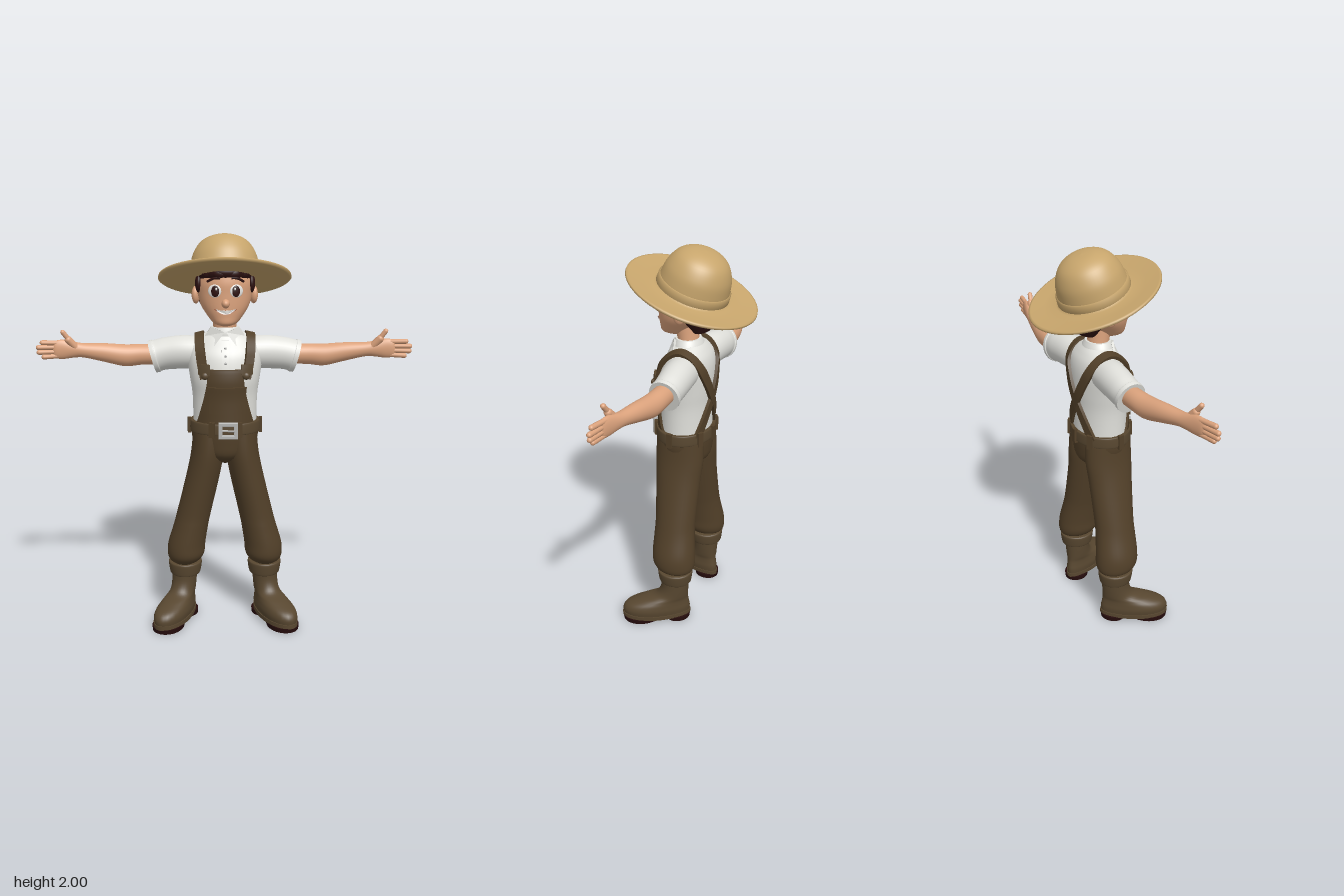
import * as THREE from 'three';
import { mergeVertices } from 'three/addons/utils/BufferGeometryUtils.js';

const flat = (name, color) => Object.assign(new THREE.MeshStandardMaterial({ color }), { name });
const M = {
  straw: flat('straw', 0xc7a56c), skin: flat('skin', 0xdca37d), hair: flat('dark hair', 0x2e1211),
  shirt: flat('shirt white', 0xe0e0db), cloth: flat('overall brown', 0x524029),
  boot: flat('boot brown', 0x584730), sole: flat('sole', 0x260d0d), metal: flat('metal', 0xb4b4b2),
  white: flat('eye white', 0xf6f4ef), lip: flat('lip', 0xa9684f),
};

// Smooth in-between rings; a ring is [x, y, z, radiusA, radiusB, lean]
function refine(rings, n = 5) {
  const cubic = (a, b, c, d, t) => 0.5 * (2 * b + (c - a) * t + (2 * a - 5 * b + 4 * c - d) * t * t
    + (3 * b - a - 3 * c + d) * t * t * t);
  const out = [], last = rings.length - 1;
  for (let i = 0; i < last; i++) for (let j = 0; j < n; j++) {
    const [p, q, r, s] = [Math.max(i - 1, 0), i, i + 1, Math.min(i + 2, last)].map(k => rings[k]);
    out.push(q.map((v, k) => cubic(p[k], v, r[k], s[k], j / n)));
  }
  out.push(rings[last]);
  return out;
}

// Skin over elliptical rings along +y or +x, with flat caps
function loft(rings, axis = 'y', sides = 32) {
  const R = refine(rings), pos = [], idx = [];
  const ring = ([x, y, z, a, b, lean = 0]) => {
    for (let i = 0; i < sides; i++) {
      const c = Math.cos(i / sides * Math.PI * 2), s = Math.sin(i / sides * Math.PI * 2);
      if (axis === 'y') pos.push(x + a * c, y + lean * s, z + b * s);
      else pos.push(x + lean * s, y + a * s, z + b * c);
    }
  };
  R.forEach(ring);
  for (let k = 0; k < R.length - 1; k++) for (let i = 0; i < sides; i++) {
    const a = k * sides + i, b = k * sides + (i + 1) % sides;
    idx.push(a, a + sides, b, b, a + sides, b + sides);
  }
  for (const [r, top] of [[R[0], false], [R[R.length - 1], true]]) {
    const start = pos.length / 3;
    ring(r);
    pos.push(r[0], r[1], r[2]);
    for (let i = 0; i < sides; i++) {
      const a = start + i, b = start + (i + 1) % sides;
      idx.push(start + sides, top ? b : a, top ? a : b);
    }
  }
  const g = new THREE.BufferGeometry();
  g.setAttribute('position', new THREE.Float32BufferAttribute(pos, 3));
  g.setIndex(idx);
  g.computeVertexNormals();
  return g;
}

function warp(g, rule) {
  const p = g.attributes.position, v = new THREE.Vector3();
  for (let i = 0; i < p.count; i++) {
    rule(v.fromBufferAttribute(p, i));
    p.setXYZ(i, v.x, v.y, v.z);
  }
  g.computeVertexNormals();
  return g;
}

// Front (side 1) or back (side -1) depth of a lofted body at x, y
function surfaceZ(rings, x, y, side = 1) {
  const R = refine(rings);
  let k = R.findIndex(r => r[1] > y);
  if (k < 1) k = k === 0 ? 1 : R.length - 1;
  const t = THREE.MathUtils.clamp((y - R[k - 1][1]) / (R[k][1] - R[k - 1][1]), 0, 1);
  const [, , z, a, b] = R[k].map((v, i) => THREE.MathUtils.lerp(R[k - 1][i], v, t));
  return z + side * b * Math.sqrt(Math.max(0, 1 - (x / a) ** 2));
}
const drape = (g, rings, lift) => warp(g, v => { v.z += surfaceZ(rings, v.x, v.y) + lift; });
const panel = (w, h, d, x, y) => new THREE.BoxGeometry(w, h, d, 10, 8, 1).translate(x, y, 0);
const blob = (x, y, z, a, b, c, yaw = 0) =>
  new THREE.SphereGeometry(1, 20, 14).scale(a, b, c).rotateY(yaw).translate(x, y, z);
const V = (...a) => new THREE.Vector3(...a);
const tube = (pts, r) => new THREE.TubeGeometry(new THREE.CatmullRomCurve3(pts), 16, r, 8);
function capsule(a, b, r) {
  const d = b.clone().sub(a), m = a.clone().lerp(b, 0.5);
  return new THREE.CapsuleGeometry(r, d.length(), 6, 12)
    .applyQuaternion(new THREE.Quaternion().setFromUnitVectors(V(0, 1, 0), d.normalize())).translate(m.x, m.y, m.z);
}
function mirror(g) {
  const m = g.index ? g.clone() : mergeVertices(g);
  m.scale(-1, 1, 1);
  const a = m.index.array;
  for (let i = 0; i < a.length; i += 3) [a[i], a[i + 1]] = [a[i + 1], a[i]];
  return m;
}

const TORSO = [[0, 1.04, .03, .16, .128], [0, 1.2, .03, .162, .127], [0, 1.3, .03, .175, .134], [0, 1.4, .02, .188, .126],
  [0, 1.46, .01, .178, .106], [0, 1.5, .01, .135, .085], [0, 1.525, .01, .085, .065]];
const HEAD = [[0, 1.562, .09, .02, .03], [0, 1.575, .09, .055, .065], [0, 1.61, .075, .086, .085], [0, 1.66, .05, .118, .113],
  [0, 1.72, .03, .135, .134], [0, 1.78, .02, .14, .143], [0, 1.85, .01, .12, .13], [0, 1.9, 0, .06, .07]];

// Flat strap over the shoulder, crossing to the other side of the back
function strapGeometry() {
  const on = (x, y, side) => V(x, y, surfaceZ(TORSO, x, y, side) + side * .008);
  const curve = new THREE.CatmullRomCurve3([on(.1, 1.31, 1), on(.115, 1.38, 1), on(.123, 1.44, 1), V(.126, 1.495, .055),
    V(.126, 1.515, .005), V(.12, 1.495, -.045), on(.105, 1.44, -1), on(.065, 1.36, -1), on(.02, 1.28, -1),
    on(-.05, 1.17, -1), on(-.105, 1.06, -1)]);
  return warp(new THREE.BoxGeometry(1, 1, 1, 1, 1, 48), v => {
    const t = v.z + .5, p = curve.getPoint(t), tan = curve.getTangent(t);
    const n = V(p.x * .35, Math.max(0, p.y - 1.42) * 2, p.z - .02);
    n.addScaledVector(tan, -n.dot(tan)).normalize();
    const across = n.clone().cross(tan);
    v.copy(p.addScaledVector(across, v.x * .046).addScaledVector(n, v.y * .016));
  });
}

export function createModel() {
  const model = new THREE.Group();
  const add = (name, g, mat) => {
    const m = new THREE.Mesh(g, mat);
    m.name = name;
    model.add(m);
    return m;
  };
  const pair = (name, g, mat) => {
    add('left ' + name, g, mat);
    add('right ' + name, mirror(g), mat);
  };

  // Straw hat, tilted back
  const dome = new THREE.SplineCurve([[.174, .012], [.17, .06], [.157, .12], [.122, .178], [.065, .21], [0, .218]]
    .map(p => new THREE.Vector2(...p))).getPoints(24);
  dome[dome.length - 1].x = 0;
  const brim = [[.1, -.008], [.24, -.01], [.318, -.004], [.328, .003], [.326, .012], [.316, .014], [.25, .005], [.19, .005]]
    .map(p => new THREE.Vector2(...p));
  const band = [[.17, .008], [.181, .012], [.179, .048], [.168, .052]].map(p => new THREE.Vector2(...p));
  for (const [name, pts] of [['hat', [...brim, ...dome]], ['hat band', band]])
    add(name, new THREE.LatheGeometry(pts, 56).rotateX(-.345).translate(0, 1.78, 0), M.straw);

  // Head and hair
  add('head', loft(HEAD), M.skin);
  add('neck', loft([[0, 1.47, .01, .066, .058], [0, 1.54, .018, .058, .053], [0, 1.63, .03, .06, .058]]), M.skin);
  add('hair', loft([[0, 1.605, -.06, .085, .04], [0, 1.66, -.05, .124, .076], [0, 1.72, -.042, .141, .104],
    [0, 1.775, -.005, .148, .143], [0, 1.82, .008, .148, .162], [0, 1.86, 0, .13, .145], [0, 1.9, -.01, .07, .08]]), M.hair);
  pair('sideburn', blob(.128, 1.765, .065, .018, .045, .035), M.hair);
  for (const x of [-.085, -.03, .04, .09])
    add('fringe lock', blob(x, 1.815, surfaceZ(HEAD, x, 1.815) + .003, .03, .02, .012, x * 5), M.hair);
  pair('ear', blob(.143, 1.705, .002, .02, .044, .03, .25), M.skin);

  // Face
  add('nose', blob(0, 1.676, .168, .02, .022, .029), M.skin);
  pair('eye white', blob(.052, 1.735, surfaceZ(HEAD, .052, 1.735), .033, .031, .006, .32), M.white);
  pair('eye', blob(.05, 1.734, surfaceZ(HEAD, .05, 1.734) + .004, .02, .027, .006, .32), M.hair);
  pair('eye glint', blob(.045, 1.745, surfaceZ(HEAD, .045, 1.745) + .009, .005, .006, .003, .32), M.white);
  pair('eyebrow', tube([[.026, 1.797], [.055, 1.795], [.088, 1.778]]
    .map(([x, y]) => V(x, y, surfaceZ(HEAD, x, y) + .003)), .006), M.hair);
  const smile = (s, lift) => {
    const o = new THREE.Shape();
    o.moveTo(-.05 * s, 1.65);
    o.quadraticCurveTo(0, 1.636, .05 * s, 1.65);
    o.quadraticCurveTo(0, 1.636 - .036 * s, -.05 * s, 1.65);
    return drape(new THREE.ExtrudeGeometry(o, { depth: .004, bevelEnabled: false, curveSegments: 16 }), HEAD, lift);
  };
  add('lips', smile(1.12, .001), M.lip);
  add('teeth', smile(1, .004), M.white);

  // Shirt
  add('shirt', loft(TORSO), M.shirt);
  pair('sleeve', loft([[.08, 1.415, 0, .08, .08, 0], [.2, 1.418, -.012, .084, .08, .005], [.29, 1.41, -.02, .08, .075, .015],
    [.338, 1.4, -.02, .077, .072, .022], [.345, 1.398, -.02, .081, .076, .022], [.365, 1.393, -.02, .08, .075, .022]], 'x'), M.shirt);
  add('collar', loft([[0, 1.495, .012, .1, .078], [0, 1.525, .016, .086, .072], [0, 1.55, .018, .07, .062]]), M.shirt);
  const flap = new THREE.Shape([[.004, 1.53], [.055, 1.463], [.098, 1.508], [.07, 1.552], [.03, 1.54]]
    .map(p => new THREE.Vector2(...p)));
  pair('collar flap', warp(new THREE.ExtrudeGeometry(flap, { depth: .012, bevelEnabled: false }),
    v => { v.z += .112 - (v.y - 1.463) * .4 - v.x * v.x * 5; }), M.shirt);
  add('placket', drape(panel(.036, .14, .008, 0, 1.42), TORSO, .002), M.shirt);
  for (const y of [1.385, 1.42, 1.455])
    add('shirt button', blob(0, y, surfaceZ(TORSO, 0, y) + .007, .006, .006, .004), M.metal);

  // Arms and hands
  pair('arm', loft([[.33, 1.405, -.02, .05, .05], [.42, 1.405, -.02, .052, .05], [.5, 1.402, -.012, .055, .05],
    [.6, 1.418, 0, .047, .043], [.7, 1.432, .015, .036, .033], [.75, 1.437, .023, .04, .027],
    [.8, 1.44, .032, .048, .021], [.835, 1.44, .038, .044, .016], [.85, 1.44, .04, .03, .008]], 'x'), M.skin);
  for (const [y, tip] of [[1.476, .9], [1.452, .92], [1.428, .918], [1.405, .895]])
    pair('finger', capsule(V(.815, 1.44 + (y - 1.44) * .9, .034), V(tip, y, .05), .0125), M.skin);
  pair('thumb base', capsule(V(.735, 1.445, .028), V(.772, 1.488, .042), .019), M.skin);
  pair('thumb', capsule(V(.77, 1.488, .042), V(.797, 1.527, .05), .0125), M.skin);

  // Overalls
  add('trouser seat', loft([[0, .865, .03, .035, .06], [0, .91, .03, .125, .118], [0, .98, .03, .164, .132],
    [0, 1.06, .031, .17, .137]]), M.cloth);
  pair('trouser leg', loft([[.212, .308, .005, .062, .08], [.21, .325, .007, .084, .1], [.205, .36, .014, .097, .114],
    [.199, .42, .017, .097, .114], [.176, .52, .022, .09, .108], [.157, .6, .024, .088, .107], [.11, .8, .03, .086, .118],
    [.088, .92, .03, .084, .127], [.078, 1.03, .03, .084, .125]]), M.cloth);
  pair('pocket seam', tube([[.085, 1.02], [.1, .97], [.15, .955]]
    .map(([x, y]) => V(x, y, .03 + .134 * Math.sqrt(1 - (x / .168) ** 2))), .004), M.cloth);
  const bib = panel(1, .28, .016, 0, 1.215);
  add('bib', drape(warp(bib, v => { v.x *= .18 + Math.max(0, 1.3 - v.y) ** 1.3 * .75; }), TORSO, .006), M.cloth);
  add('bib hem', drape(panel(.19, .022, .01, 0, 1.345), TORSO, .017), M.cloth);
  add('bib pocket', drape(panel(.18, .125, .012, .008, 1.2), TORSO, .017), M.cloth);
  add('bib pocket flap', drape(panel(.19, .028, .014, .008, 1.257), TORSO, .025), M.cloth);
  pair('strap', strapGeometry(), M.cloth);
  pair('strap clasp', drape(panel(.058, .05, .016, .105, 1.355), TORSO, .02), M.boot);
  pair('strap button', blob(.1, 1.325, surfaceZ(TORSO, .1, 1.325) + .024, .018, .018, .012), M.boot);

  // Belt
  add('belt', loft([[0, 1.028, .032, .172, .14], [0, 1.032, .032, .179, .147], [0, 1.08, .032, .178, .146],
    [0, 1.084, .032, .171, .139]], 'y', 48), M.boot);
  for (const deg of [5, 68, 112, 175, 235, 270, 305]) {
    const a = deg * Math.PI / 180;
    add('belt loop', new THREE.BoxGeometry(.028, .076, .018).rotateY(Math.PI / 2 - a)
      .translate(Math.cos(a) * .18, 1.056, .032 + Math.sin(a) * .148), M.cloth);
  }
  const frame = new THREE.Shape([[-.045, -.038], [.045, -.038], [.045, .038], [-.045, .038]].map(p => new THREE.Vector2(...p)));
  frame.holes.push(new THREE.Path([[-.031, -.025], [-.031, .025], [.031, .025], [.031, -.025]].map(p => new THREE.Vector2(...p))));
  add('buckle', new THREE.ExtrudeGeometry(frame, { depth: .012, bevelSize: .003, bevelThickness: .003, bevelSegments: 2 })
    .translate(.012, 1.056, .18), M.metal);
  add('buckle pin', capsule(V(-.025, 1.056, .188), V(.04, 1.056, .193), .005), M.metal);

  // Boots, toes turned out
  const place = g => g.rotateY(.47).translate(.21, 0, 0);
  const foot = rings => place(warp(loft(rings), v => { v.x *= .86 + v.z * .9; }));
  pair('boot', foot([[0, .035, .108, .077, .178], [0, .07, .108, .082, .18], [0, .1, .098, .078, .165], [0, .125, .065, .072, .128],
    [0, .15, .025, .07, .088], [0, .2, .008, .072, .074], [0, .27, .005, .076, .076]]), M.boot);
  pair('boot cuff', loft([[.21, .24, .005, .07, .08], [.21, .246, .005, .08, .086], [.21, .298, .005, .088, .093],
    [.21, .308, .005, .082, .087]]), M.boot);
  pair('boot welt', foot([[0, .022, .108, .083, .184], [0, .044, .108, .083, .184]]), M.boot);
  pair('sole', foot([[0, 0, .185, .074, .102], [0, .024, .185, .076, .105]]), M.sole);
  pair('heel', foot([[0, 0, -.005, .074, .066], [0, .024, -.005, .076, .069]]), M.sole);

  return model;
}
